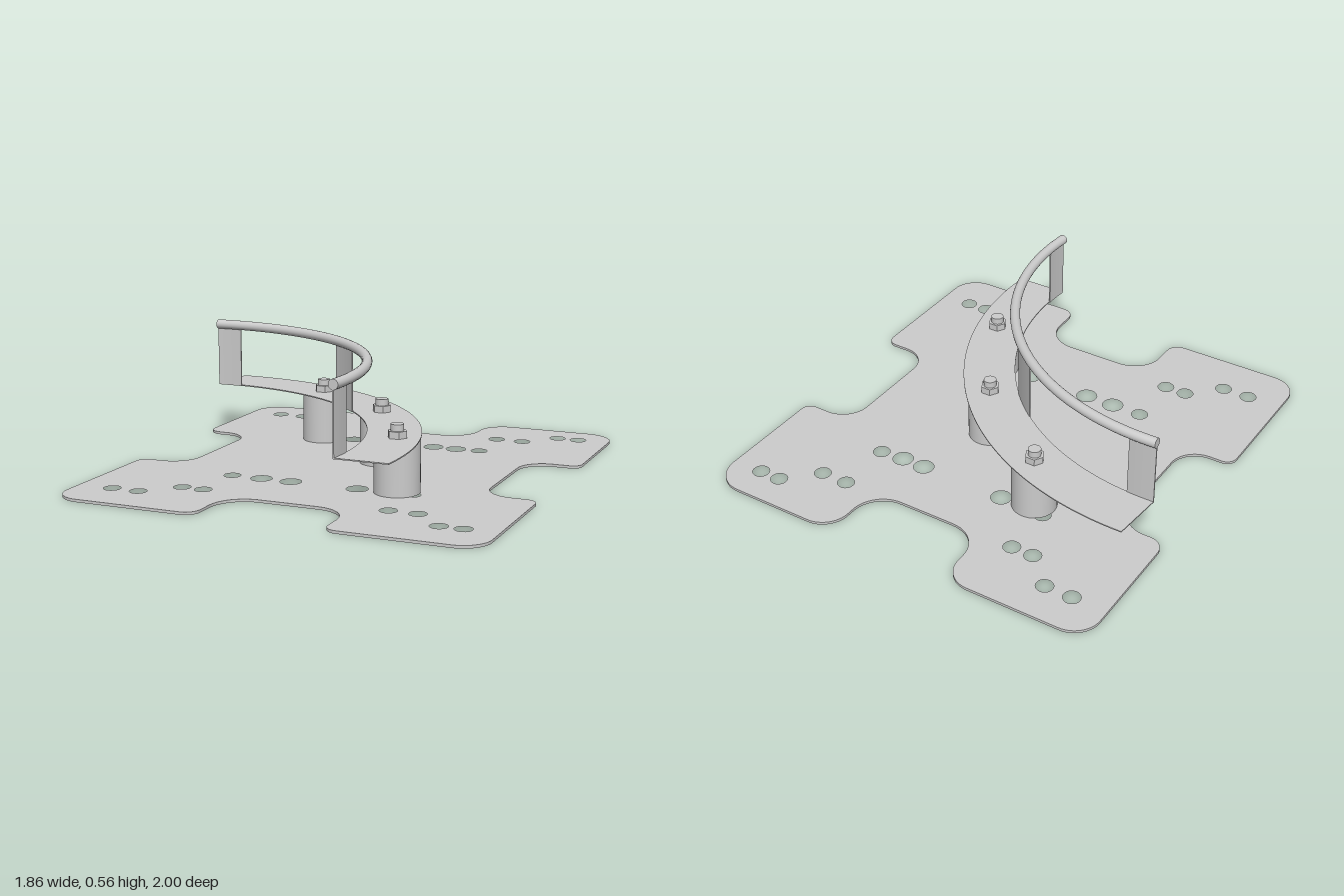
import * as THREE from 'three';
import { toCreasedNormals } from 'three/addons/utils/BufferGeometryUtils.js';

const material = new THREE.MeshStandardMaterial({ color: 0xcccccc });
const PLATE = 0.012, DECK = 0.238, RAIL_Y = 0.533, RAIL_R = 0.022;
// common centre and radii of the curved parts
const CX = -0.837, CZ = 0.7035, INNER = 1.092, OUTER = 1.323;
const rad = THREE.MathUtils.degToRad;

function add(parent, name, geometry, x = 0, y = 0, z = 0) {
  const mesh = new THREE.Mesh(geometry, material);
  mesh.name = name;
  mesh.position.set(x, y, z);
  parent.add(mesh);
  return mesh;
}

// Extrudes a plan shape (drawn with y = -z) upwards
function slab(shape, depth, curveSegments) {
  const g = new THREE.ExtrudeGeometry(shape, { depth, bevelEnabled: false, curveSegments });
  g.rotateX(-Math.PI / 2);
  return toCreasedNormals(g, 0.6);
}

// Polygon of [x, z, radius] corners with rounded corners
function roundedOutline(corners) {
  const pts = corners.map(([x, z]) => new THREE.Vector2(x, -z));
  const shape = new THREE.Shape();
  const n = pts.length;
  corners.forEach(([, , r], i) => {
    const p = pts[i];
    const toward = (q, d) => p.clone().add(q.clone().sub(p).setLength(d));
    const prev = pts[(i + n - 1) % n], next = pts[(i + 1) % n];
    const a = toward(prev, r), b = toward(next, r);
    const ca = toward(prev, r * 0.448), cb = toward(next, r * 0.448);
    if (i === 0) shape.moveTo(a.x, a.y); else shape.lineTo(a.x, a.y);
    shape.bezierCurveTo(ca.x, ca.y, cb.x, cb.y, b.x, b.y);
  });
  shape.closePath();
  return shape;
}

// Curved strip in plan; the ends may have different angles inside and outside
function arcStrip(r0, r1, out0, out1, in0 = out0, in1 = out1) {
  const s = new THREE.Shape();
  s.absarc(CX, -CZ, r1, rad(out0), rad(out1), false);
  s.absarc(CX, -CZ, r0, rad(in1), rad(in0), true);
  s.closePath();
  return s;
}

export function createModel() {
  const model = new THREE.Group();
  model.name = 'curvedRailStand';

  // Base plate with a notch in each side
  const base = roundedOutline([
    [-0.93, -1, 0.12], [-0.27, -1, 0.12], [-0.27, -0.7, 0.145], [0.285, -0.7, 0.145],
    [0.285, -1, 0.12], [0.925, -1, 0.14], [0.925, -0.34, 0.045], [0.68, -0.34, 0.125],
    [0.68, 0.28, 0.125], [0.925, 0.28, 0.05], [0.925, 1, 0.12], [0.285, 1, 0.06],
    [0.285, 0.715, 0.145], [-0.27, 0.715, 0.145], [-0.27, 1, 0.06], [-0.93, 1, 0.12],
    [-0.93, 0.28, 0.05], [-0.7, 0.28, 0.125], [-0.7, -0.34, 0.125], [-0.93, -0.34, 0.07],
  ]);

  // Rows of drilled holes: z, radius, x positions
  const holeRows = [
    [-0.825, 0.037, [-0.77, -0.645]], [-0.695, 0.037, [-0.51, -0.41]],
    [-0.847, 0.037, [0.68, 0.78]], [-0.715, 0.037, [0.42, 0.545]],
    [-0.447, 0.045, [-0.31, -0.2, 0.2, 0.31]], [-0.455, 0.037, [-0.41, 0.42]],
    [0.397, 0.047, [-0.27, -0.132, 0.175, 0.31]], [0.397, 0.037, [-0.41, 0.42]],
    [0.657, 0.037, [-0.51, -0.41, 0.42, 0.545]],
    [0.787, 0.037, [-0.77, -0.645, 0.68, 0.78]],
  ];
  for (const [z, r, xs] of holeRows) {
    for (const x of xs) {
      base.holes.push(new THREE.Path().absarc(x, -z, r, 0, Math.PI * 2, true));
    }
  }
  add(model, 'basePlate', slab(base, PLATE, 12));

  // Standoffs, each with a hex nut and bolt end on top of the deck
  const deckTop = DECK + 0.005;
  for (const [x, z] of [[-0.34, -0.407], [0.09, -0.08], [0.345, 0.377]]) {
    const post = new THREE.Group();
    post.name = 'standoff';
    post.position.set(x, 0, z);
    model.add(post);
    const h = DECK - PLATE;
    add(post, 'standoffBody', new THREE.CylinderGeometry(0.098, 0.098, h, 40), 0, PLATE + h / 2);
    const nut = new THREE.CylinderGeometry(0.042, 0.042, 0.03, 6);
    nut.rotateY(Math.PI / 6);
    add(post, 'nut', toCreasedNormals(nut, 0.3), 0, deckTop + 0.015);
    add(post, 'boltEnd', new THREE.CylinderGeometry(0.028, 0.028, 0.028, 20), 0, deckTop + 0.044);
  }

  // Thin curved deck on the standoffs
  add(model, 'curvedDeck', slab(arcStrip(INNER, OUTER, -4.62, 91.3, -5.6, 92.6), 0.005, 64), 0, DECK);

  // Upright tabs between the deck and the rail
  for (const [a0, a1] of [[-5.6, 0.2], [42.5, 51.9], [86.2, 92.6]]) {
    const tab = arcStrip(INNER - 0.003, INNER + 0.003, a0, a1);
    add(model, 'railSupport', slab(tab, RAIL_Y - DECK, 12), 0, DECK);
  }

  // Round rail along the inner edge, closed at both ends
  const onRail = (deg) => new THREE.Vector3(
    CX + INNER * Math.cos(rad(deg)), RAIL_Y, CZ - INNER * Math.sin(rad(deg)));
  const railPoints = Array.from({ length: 25 }, (_, i) => onRail(-5.6 + 98.2 * i / 24));
  const railCurve = new THREE.CatmullRomCurve3(railPoints);
  add(model, 'rail', new THREE.TubeGeometry(railCurve, 96, RAIL_R, 20));
  for (const [t, dir] of [[0, -1], [1, 1]]) {
    const p = railCurve.getPoint(t);
    const cap = add(model, 'railEnd', new THREE.CircleGeometry(RAIL_R, 20), p.x, p.y, p.z);
    cap.lookAt(p.clone().addScaledVector(railCurve.getTangent(t), dir));
  }
  return model;
}
